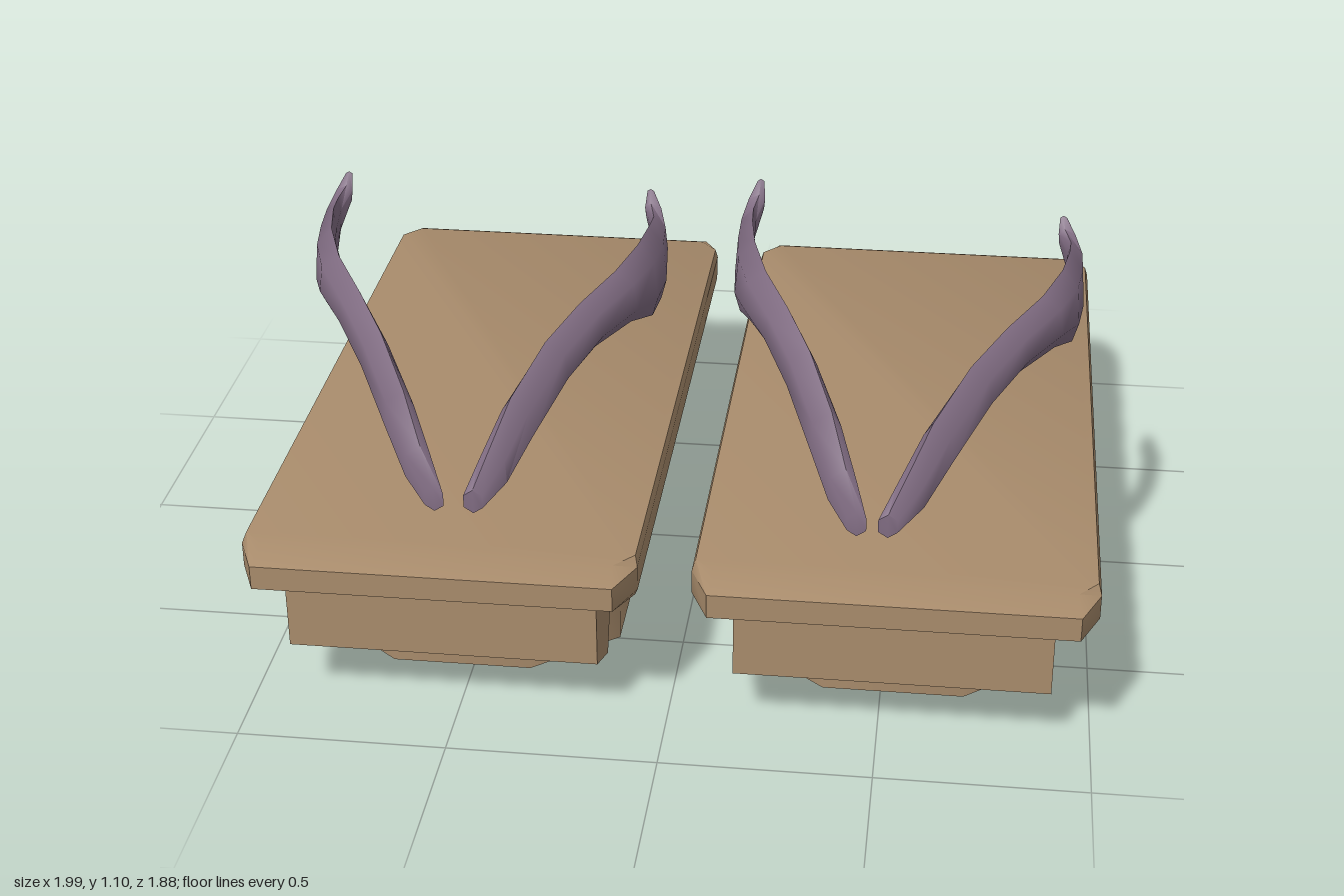
import * as THREE from 'three';
import { toCreasedNormals } from 'three/addons/utils/BufferGeometryUtils.js';

const wood = new THREE.MeshStandardMaterial({ color: 0xa98c6c });
const cloth = new THREE.MeshStandardMaterial({ color: 0x806c82, side: THREE.DoubleSide });

// Skins a row of equal cross-section rings and closes both ends
function loft(name, rings, material, crease) {
  const n = rings[0].length;
  const pos = rings.flat(2);
  const index = [];
  for (let j = 0; j < rings.length - 1; j++) {
    for (let i = 0; i < n; i++) {
      const a = j * n + i, b = j * n + (i + 1) % n;
      index.push(a, b, a + n, b, b + n, a + n);
    }
  }
  const last = (rings.length - 1) * n;
  for (let i = 1; i < n - 1; i++) {
    index.push(0, i + 1, i);
    index.push(last, last + i, last + i + 1);
  }
  const geo = new THREE.BufferGeometry();
  geo.setAttribute('position', new THREE.Float32BufferAttribute(pos, 3));
  geo.setIndex(index);
  const mesh = new THREE.Mesh(toCreasedNormals(geo, crease), material);
  mesh.name = name;
  return mesh;
}

// Rectangle with cut corners, at height y
const cutRect = (y, hw, zf, zb, cx, czf, czb = czf) => [
  [hw, y, zf - czf], [hw, y, zb + czb], [hw - cx, y, zb], [cx - hw, y, zb],
  [-hw, y, zb + czb], [-hw, y, zf - czf], [cx - hw, y, zf], [hw - cx, y, zf],
];

// Beam across the sole: four corners (z, y) from the front top round to the back top
function beam(name, hw, [ft, fb, bb, bt]) {
  const ring = (f, b) => [[hw, f[1], f[0]], [hw, b[1], b[0]], [-hw, b[1], b[0]], [-hw, f[1], f[0]]];
  return loft(name, [ring(fb, bb), ring(ft, bt)], wood, 0.3);
}

function createSole() {
  const sole = new THREE.Group();
  sole.name = 'sole';

  // Board with bevelled ends
  sole.add(loft('board', [
    cutRect(0.33, 0.455, 0.85, -0.86, 0.045, 0.05),
    cutRect(0.37, 0.467, 0.94, -0.93, 0.045, 0.1),
    cutRect(0.43, 0.467, 0.94, -0.945, 0.045, 0.1),
    cutRect(0.45, 0.46, 0.87, -0.9, 0.045, 0.05),
  ], wood, 0.6));

  // Teeth, bulging towards the ends of the board
  sole.add(loft('frontTooth', [
    cutRect(0, 0.37, 0.655, 0.18, 0.2, 0.16, 0.06),
    cutRect(0.335, 0.38, 0.66, 0.17, 0.2, 0.16, 0.06),
  ], wood, 0.9));
  sole.add(loft('rearTooth', [
    cutRect(0, 0.37, -0.24, -0.805, 0.2, 0.06, 0.16),
    cutRect(0.335, 0.38, -0.235, -0.82, 0.2, 0.06, 0.16),
  ], wood, 0.9));

  // Braces beyond the teeth
  sole.add(beam('frontBrace', 0.37, [[0.85, 0.335], [0.85, 0.16], [0.69, 0.085], [0.58, 0.335]]));
  sole.add(beam('rearBrace', 0.33, [[-0.72, 0.335], [-0.735, 0.085], [-0.785, 0.085], [-0.83, 0.32]]));
  return sole;
}

// Strap stations: sideways reach, z, lower edge, upper edge, half thickness
const stations = [
  [0, 0.89, 0.58, 0.64, 0.022],
  [0.045, 0.84, 0.61, 0.72, 0.03],
  [0.1, 0.77, 0.69, 0.82, 0.032],
  [0.18, 0.66, 0.79, 0.91, 0.03],
  [0.26, 0.55, 0.85, 0.96, 0.028],
  [0.34, 0.43, 0.86, 0.99, 0.026],
  [0.385, 0.32, 0.825, 1.01, 0.022],
  [0.4, 0.23, 0.83, 1.02, 0.02],
  [0.4, 0.17, 0.91, 1.02, 0.018],
  [0.38, 0.135, 0.99, 1.04, 0.02],
  [0.37, 0.115, 1.05, 1.07, 0.008],
];

// Flat band from the toe to the ankle; the lower edge leans outward
function createStrap(name, x0, dir, scale, dy) {
  const rings = stations.map(([u, z, lo, hi, t], i) => {
    const x = x0 + dir * u * scale;
    const f = i / (stations.length - 1);
    const lean = dir * 0.018 * Math.sin(Math.PI * f);
    const lift = dy * f, mid = (lo + hi) / 2 + lift, q = (hi - lo) * 0.25;
    return [
      [x - lean, hi + lift, z], [x + t, mid + q, z], [x + t + lean / 2, mid - q, z],
      [x + lean, lo + lift, z], [x - t + lean / 2, mid - q, z], [x - t, mid + q, z],
    ];
  });
  return loft(name, rings, cloth, 0.9);
}

export function createModel() {
  const model = new THREE.Group();
  model.name = 'woodenSandals';
  for (const [side, x] of [['right', -0.53], ['left', 0.53]]) {
    const sandal = new THREE.Group();
    sandal.name = side + 'Sandal';
    const sole = createSole();
    sole.position.x = x;
    sandal.add(sole);
    if (side === 'right') {
      sandal.add(createStrap('outerStrap', -0.52, -1, 0.96, 0));
      sandal.add(createStrap('innerStrap', -0.43, 1, 0.83, -0.01));
    } else {
      sandal.add(createStrap('innerStrap', 0.44, -1, 0.79, 0.03));
      sandal.add(createStrap('outerStrap', 0.51, 1, 1, -0.03));
    }
    model.add(sandal);
  }
  return model;
}
